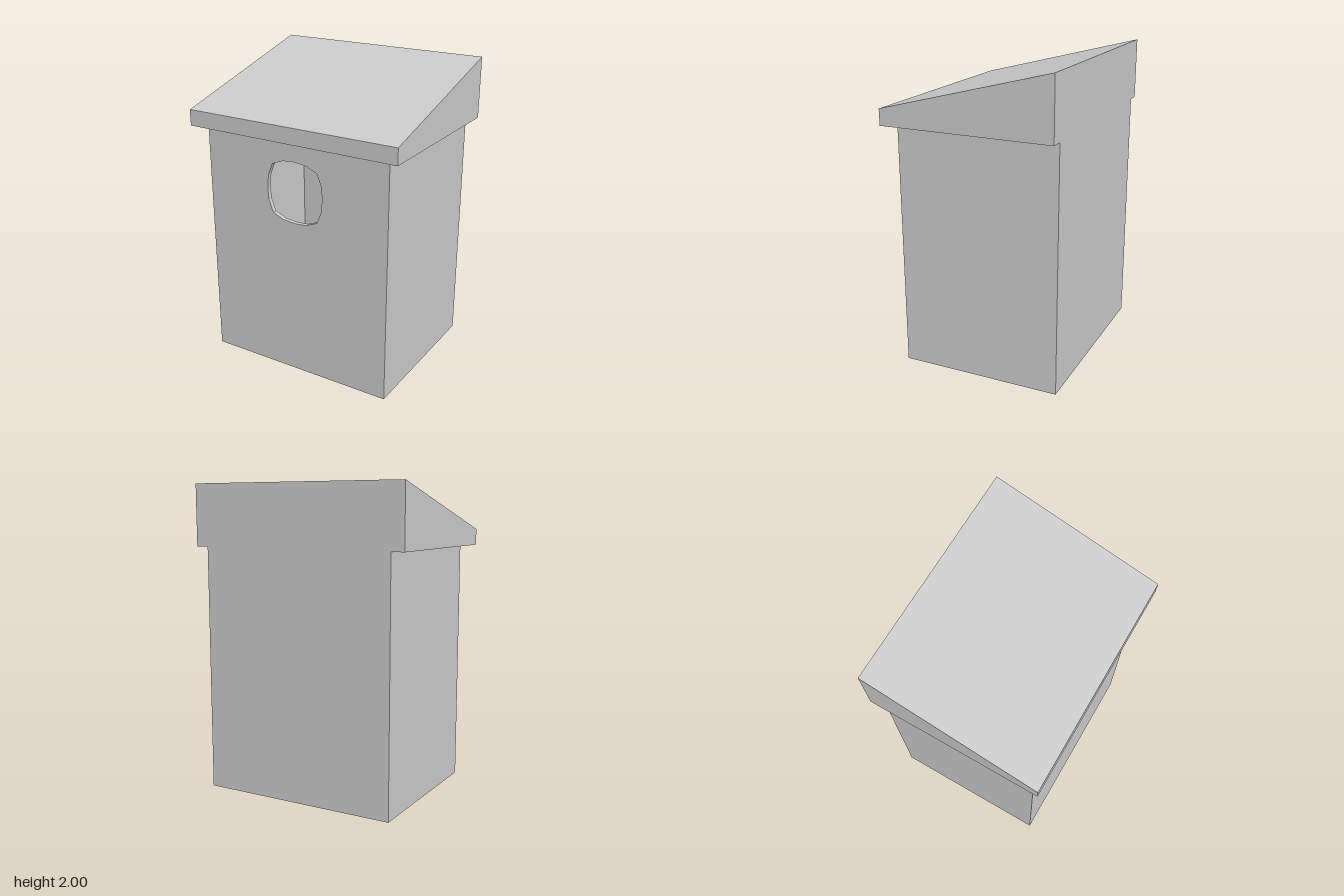
import * as THREE from 'three';

const material = new THREE.MeshStandardMaterial({ color: 0xcccccc, flatShading: true });

const T = 0.03;                    // board thickness
const W = 0.655, H = 1.6;          // body half width and height
const FRONT = 0.495, BACK = -0.565;
const ROOF_W = 0.74, ROOF_FRONT = 0.565;

function polygon(points) {
  return new THREE.Shape(points.map(([x, y]) => new THREE.Vector2(x, y)));
}

function extrude(shape, depth) {
  return new THREE.ExtrudeGeometry(shape, { depth, bevelEnabled: false });
}

// Squarish round entrance: one quarter of the outline, turned four times
function entrancePath(cx, cy) {
  const quarter = [[0.202, 0], [0.196, 0.08], [0.164, 0.161], [0.088, 0.193]];
  const points = [];
  for (let i = 0; i < 4; i++) {
    for (const [x, y] of quarter) {
      const p = new THREE.Vector2(x, y).rotateAround(new THREE.Vector2(), i * Math.PI / 2);
      points.push(p.add(new THREE.Vector2(cx, cy)));
    }
  }
  return new THREE.Path(points.reverse());
}

export function createModel() {
  const group = new THREE.Group();
  group.name = 'birdhouse';
  const add = (name, geometry) => {
    const mesh = new THREE.Mesh(geometry, material);
    mesh.name = name;
    group.add(mesh);
  };

  // Front board with the entrance hole
  const front = polygon([[-W, 0], [W, 0], [W, H], [-W, H]]);
  front.holes.push(entrancePath(0, 1.265));
  add('frontWall', extrude(front, T).translate(0, 0, FRONT - T));

  // Sides and back: a U-shaped plan raised to the roof
  const f = -(FRONT - T), b = -BACK;
  const plan = polygon([
    [-W, f], [-W + T, f], [-W + T, b - T], [W - T, b - T],
    [W - T, f], [W, f], [W, b], [-W, b],
  ]);
  add('sideAndBackWalls', extrude(plan, H).rotateX(-Math.PI / 2));

  // Floor board between the walls
  const depth = FRONT - BACK - 2 * T;
  add('floor', new THREE.BoxGeometry(2 * (W - T), T, depth)
    .translate(0, T / 2, (FRONT + BACK) / 2));

  // Wedge roof sloping down to the front, flush with the back
  const profile = polygon([[-ROOF_FRONT, H], [b, H], [b, 2], [-ROOF_FRONT, 1.705]]);
  add('roof', extrude(profile, 2 * ROOF_W).rotateY(Math.PI / 2).translate(-ROOF_W, 0, 0));

  return group;
}
